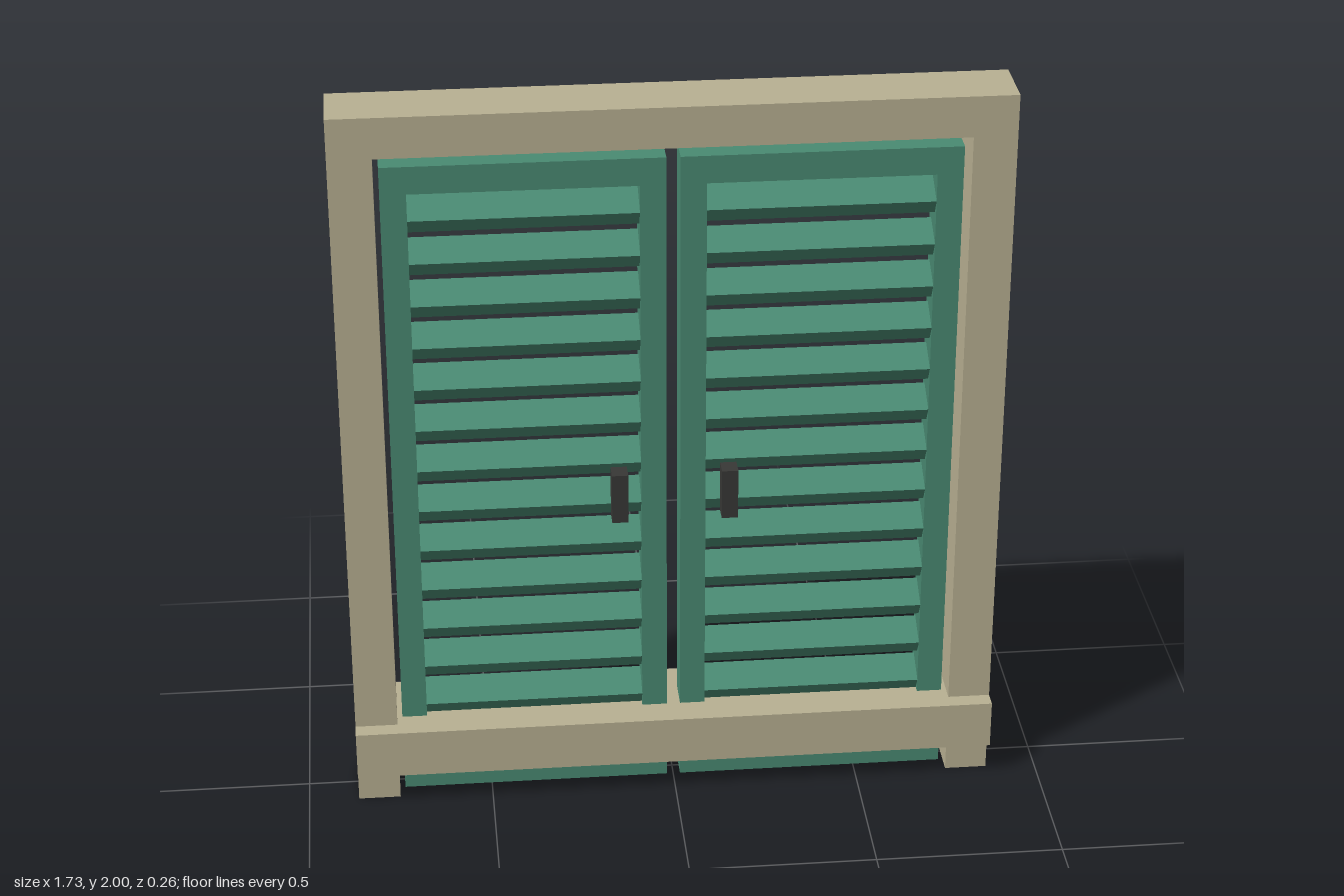
import * as THREE from 'three';

const mat = (name, color) => {
  const m = new THREE.MeshStandardMaterial({ color });
  m.name = name;
  return m;
};

export function createModel() {
  const stone = mat('beige frame', 0xb9b193);
  const green = mat('shutter green', 0x4a8b73);
  const iron = mat('dark iron', 0x383836);

  // Box given by its limits on each axis
  const box = (parent, name, material, [x0, x1], [y0, y1], [z0, z1]) => {
    const mesh = new THREE.Mesh(new THREE.BoxGeometry(x1 - x0, y1 - y0, z1 - z0), material);
    mesh.position.set((x0 + x1) / 2, (y0 + y1) / 2, (z0 + z1) / 2);
    mesh.name = name;
    parent.add(mesh);
    return mesh;
  };

  const model = new THREE.Group();
  model.name = 'shutteredWindow';

  // Surrounding frame and projecting sill
  const frame = new THREE.Group();
  frame.name = 'frame';
  model.add(frame);
  const frameZ = [-0.085, 0.085];
  box(frame, 'leftPost', stone, [0.752, 0.865], [0, 2], frameZ);
  box(frame, 'rightPost', stone, [-0.865, -0.752], [0, 2], frameZ);
  box(frame, 'lintel', stone, [-0.752, 0.752], [1.89, 2], frameZ);
  box(frame, 'sill', stone, [-0.865, 0.865], [0.098, 0.233], [-0.13, 0.13]);

  // Two louvred shutters, mirrored about the middle
  const shutterZ = [-0.047, 0.047];
  const slatGeometry = new THREE.BoxGeometry(0.586, 0.046, 0.085);
  for (const side of [1, -1]) {
    const shutter = new THREE.Group();
    shutter.name = side > 0 ? 'leftShutter' : 'rightShutter';
    model.add(shutter);
    const span = (a, b) => (side > 0 ? [a, b] : [-b, -a]);

    box(shutter, 'innerStile', green, span(0.018, 0.085), [0.005, 1.85], shutterZ);
    box(shutter, 'outerStile', green, span(0.671, 0.738), [0.005, 1.85], shutterZ);
    box(shutter, 'topRail', green, span(0.085, 0.671), [1.775, 1.85], shutterZ);
    box(shutter, 'bottomRail', green, span(0.085, 0.671), [0.005, 0.08], shutterZ);

    // Slats slope down towards the front
    for (let i = 0; i < 14; i++) {
      const slat = new THREE.Mesh(slatGeometry, green);
      slat.name = 'slat';
      slat.position.set(side * 0.378, 1.703 - i * 0.1193, 0);
      slat.rotation.x = 0.53;
      shutter.add(slat);
    }

    box(shutter, 'handle', iron, span(0.123, 0.166), [0.835, 0.975], [0.048, 0.098]);
  }
  return model;
}
